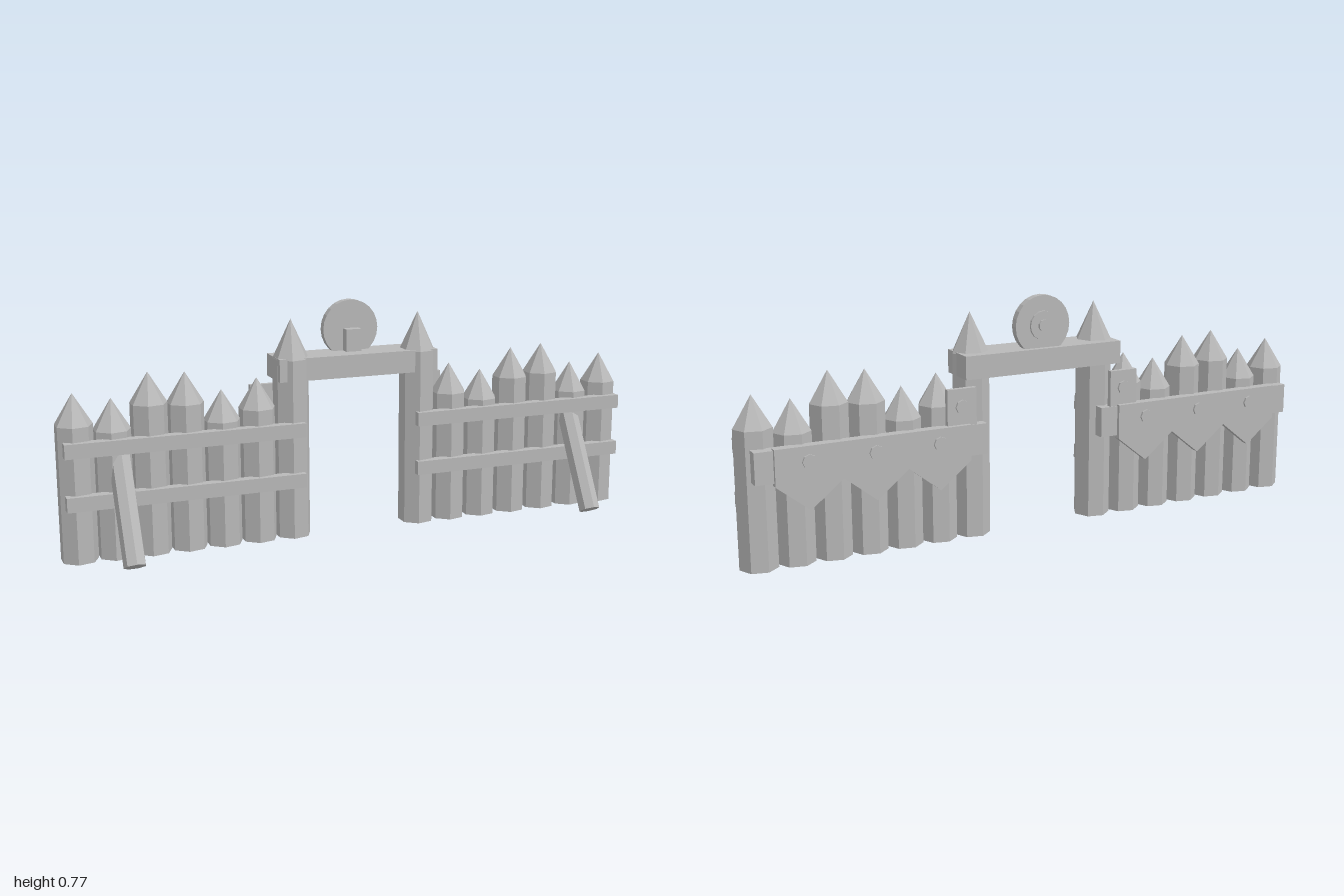
import * as THREE from 'three';

export function createModel() {
  const model = new THREE.Group();
  model.name = 'palisadeGate';
  const wood = new THREE.MeshStandardMaterial({ color: 0xb8b8b8, flatShading: true });
  wood.name = 'grey wood';

  const add = (name, geometry, x, y, z) => {
    const mesh = new THREE.Mesh(geometry, wood);
    mesh.name = name;
    mesh.position.set(x, y, z);
    model.add(mesh);
    return mesh;
  };
  // box given by its min and max corners
  const box = (name, x0, x1, y0, y1, z0, z1) =>
    add(name, new THREE.BoxGeometry(x1 - x0, y1 - y0, z1 - z0),
      (x0 + x1) / 2, (y0 + y1) / 2, (z0 + z1) / 2);
  // disc facing front and back
  const disc = (name, r, sides, x, y, z0, z1) => {
    const mesh = add(name, new THREE.CylinderGeometry(r, r, z1 - z0, sides), x, y, (z0 + z1) / 2);
    mesh.rotation.x = Math.PI / 2;
  };

  const R = 0.061, CX = -0.003, POST_Z = -0.06;
  // seven-sided stake with a sharpened tip
  const stake = (name, x, shoulder, tip) => {
    const profile = [[0, 0], [R, 0], [R, shoulder], [0, tip]].map(p => new THREE.Vector2(...p));
    add(name, new THREE.LatheGeometry(profile, 7, Math.PI / 2).toNonIndexed(), x, 0, POST_Z);
  };

  // pointed shield plate outline
  const shieldShape = new THREE.Shape([[-0.106, 0.39], [-0.106, 0.275], [0, 0.19], [0.106, 0.275], [0.106, 0.39]]
    .map(p => new THREE.Vector2(...p)));
  const shieldGeometry = new THREE.ExtrudeGeometry(shieldShape, { depth: 0.025, bevelEnabled: false });

  const tips = [0.545, 0.515, 0.582, 0.59, 0.515, 0.54]; // from the gate outwards
  for (const s of [-1, 1]) {
    const span = (name, a, b, ...rest) =>
      box(name, CX + Math.min(s * a, s * b), CX + Math.max(s * a, s * b), ...rest);

    // wall stakes and the taller gate post
    stake('gatePost', CX + s * 0.226, 0.6, 0.73);
    tips.forEach((tip, i) => stake('wallStake', CX + s * (0.345 + i * 0.119), tip - 0.1, tip));

    // front rails
    span('upperRail', 0.2, 0.983, 0.348, 0.395, -0.02, 0.015);
    span('lowerRail', 0.2, 0.983, 0.178, 0.225, -0.02, 0.015);

    // leaning brace, its foot in front of the wall
    const foot = new THREE.Vector3(CX + s * 0.805, 0.022, 0.138);
    const head = new THREE.Vector3(CX + s * 0.805, 0.336, -0.037);
    const mid = foot.clone().add(head).multiplyScalar(0.5);
    const brace = add('brace', new THREE.CylinderGeometry(0.036, 0.036, foot.distanceTo(head), 7),
      mid.x, mid.y, mid.z);
    brace.quaternion.setFromUnitVectors(new THREE.Vector3(0, 1, 0), head.clone().sub(foot).normalize());

    // back beam with three bolted shield plates
    span('backBeam', 0.21, 0.965, 0.285, 0.385, -0.15, -0.11);
    for (const x of [0.377, 0.589, 0.801]) {
      add('shieldPlate', shieldGeometry, CX + s * x, 0, -0.162);
      disc('shieldBolt', 0.023, 8, CX + s * x, 0.342, -0.169, -0.16);
    }

    // small bolted plate beside the gate
    span('gatePlate', 0.245, 0.345, 0.385, 0.505, -0.147, -0.13);
    disc('gatePlateBolt', 0.023, 8, CX + s * 0.295, 0.447, -0.154, -0.145);
  }

  // lintel across the gate
  box('lintel', CX - 0.28, CX + 0.28, 0.53, 0.605, -0.147, -0.012);

  // round shield standing on the lintel
  box('shieldSupport', CX - 0.027, CX + 0.027, 0.6, 0.68, -0.11, -0.07);
  disc('roundShield', 0.097, 24, CX, 0.678, -0.128, -0.102);
  disc('shieldRing', 0.047, 16, CX, 0.678, -0.136, -0.127);
  disc('shieldBoss', 0.02, 10, CX, 0.678, -0.143, -0.135);

  return model;
}
